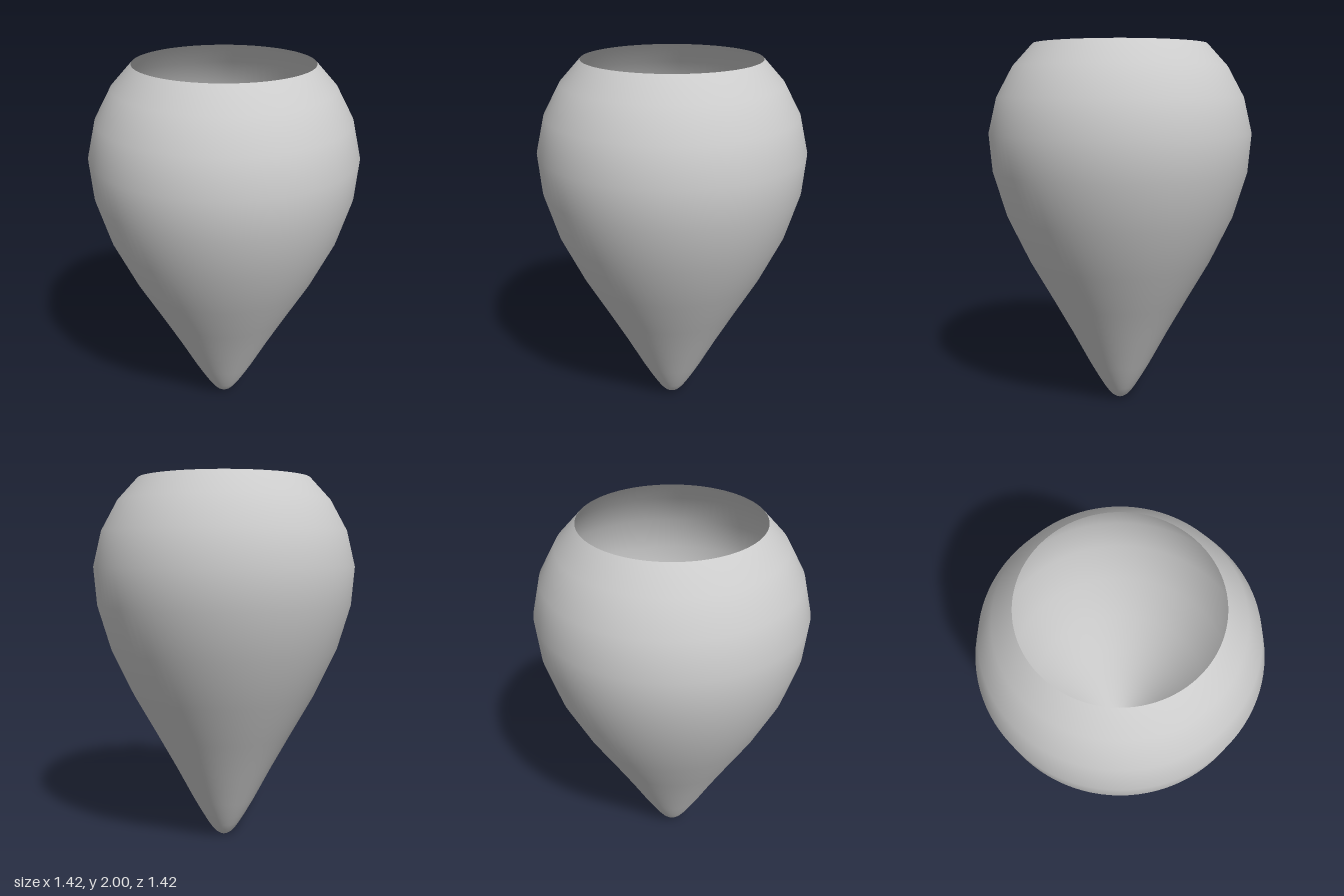
import * as THREE from 'three';

export function createModel() {
  const model = new THREE.Group();
  model.name = 'openTeardropVessel';

  const grey = new THREE.MeshStandardMaterial({ color: 0xcccccc, side: THREE.DoubleSide });
  grey.name = 'light grey';

  // Half profile from the rounded tip up to the open rim: [radius, height]
  const profile = [
    [0, 0], [0.022, 0.005], [0.045, 0.02], [0.066, 0.043], [0.09, 0.078],
    [0.125, 0.136], [0.175, 0.225], [0.272, 0.412], [0.38, 0.61], [0.505, 0.835],
    [0.622, 1.087], [0.692, 1.328], [0.708, 1.533], [0.662, 1.722],
    [0.573, 1.883], [0.465, 2],
  ].map(([r, y]) => new THREE.Vector2(r, y));

  // Thin single-walled shell, open at the top
  const shell = new THREE.Mesh(new THREE.LatheGeometry(profile, 96), grey);
  shell.name = 'shell';
  model.add(shell);

  return model;
}
